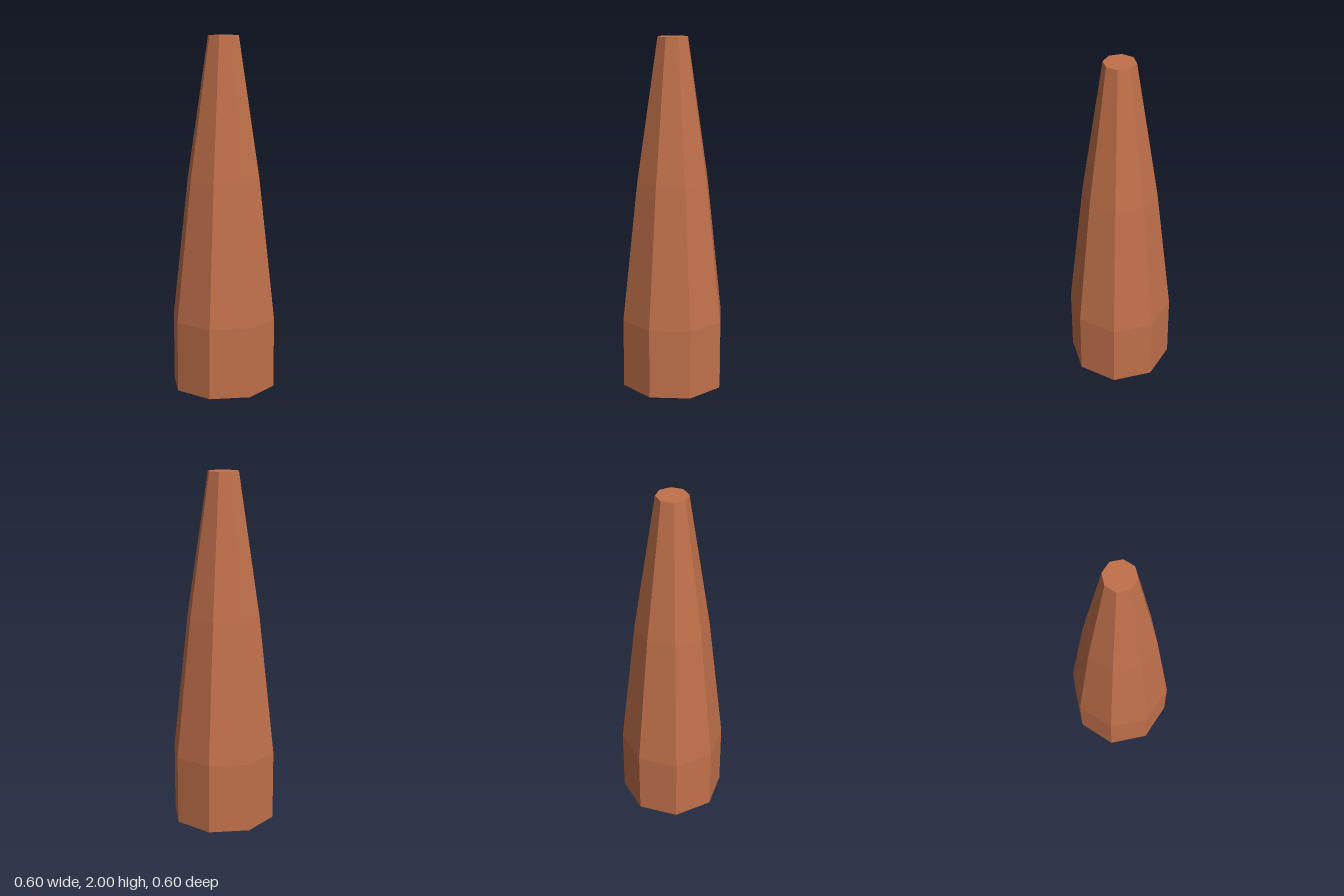
import * as THREE from 'three';

export function createModel() {
  const model = new THREE.Group();
  model.name = 'taperedPost';

  const material = new THREE.MeshStandardMaterial({ color: 0xc1714b, flatShading: true });

  // Radius and height from the base centre up to the top centre: straight foot, then two tapers
  const profile = [
    [0, 0], [0.3, 0], [0.3, 0.4], [0.21, 1.2], [0.088, 2], [0, 2],
  ].map(([radius, y]) => new THREE.Vector2(radius, y));

  // Closed eight-sided body with corners on the x and z axes
  const body = new THREE.Mesh(new THREE.LatheGeometry(profile, 8), material);
  body.name = 'taperedBody';
  model.add(body);

  return model;
}
